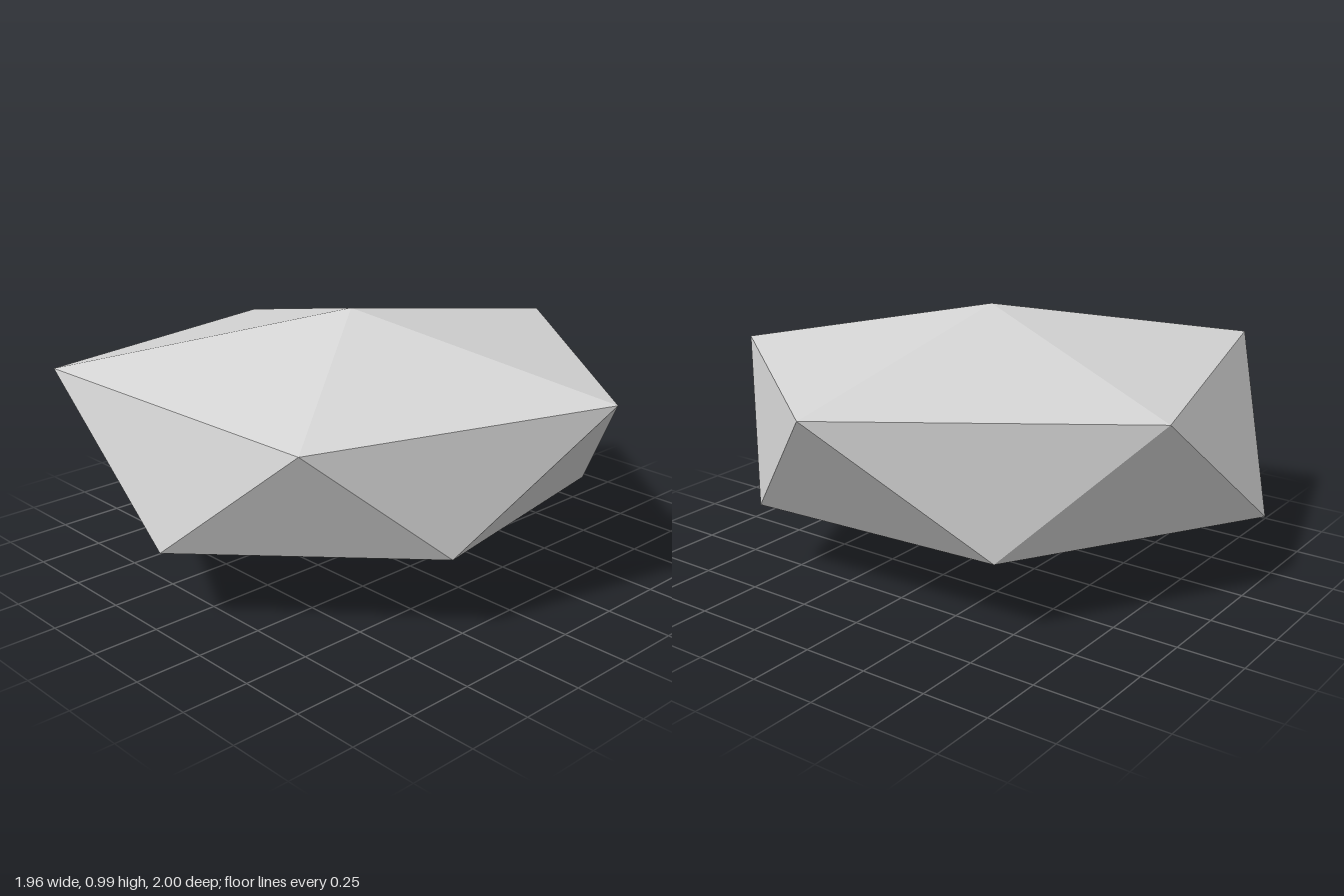
import * as THREE from 'three';

// A faceted boulder: two poles joined by two staggered five-point rings.
export function createModel() {
  const stone = new THREE.MeshStandardMaterial({ color: 0xd4d4d4 });
  stone.name = 'pale stone grey';

  const top = [-0.09, 0.99, 0.02];
  const bottom = [-0.09, 0, 0.02];
  const upper = [[0.98, 0.8, 0.02], [0.22, 0.78, 1], [-0.79, 0.73, 0.53], [-0.96, 0.8, -0.62], [0.2, 0.76, -0.91]];
  const lower = [[0.64, 0.28, 0.56], [-0.33, 0.31, 0.77], [-0.98, 0.29, 0.02], [-0.41, 0.26, -1], [0.59, 0.29, -0.48]];

  // Cap, two side facets and base for each fifth of the rock
  const positions = [];
  const facet = (...corners) => positions.push(...corners.flat());
  for (let i = 0; i < 5; i++) {
    const j = (i + 1) % 5;
    facet(top, upper[j], upper[i]);
    facet(upper[i], upper[j], lower[i]);
    facet(lower[i], upper[j], lower[j]);
    facet(lower[i], lower[j], bottom);
  }

  // Unshared corners give every facet its own flat normal
  const geometry = new THREE.BufferGeometry();
  geometry.setAttribute('position', new THREE.Float32BufferAttribute(positions, 3));
  geometry.computeVertexNormals();

  const rock = new THREE.Mesh(geometry, stone);
  rock.name = 'rock';
  const group = new THREE.Group();
  group.name = 'boulder';
  group.add(rock);
  return group;
}
